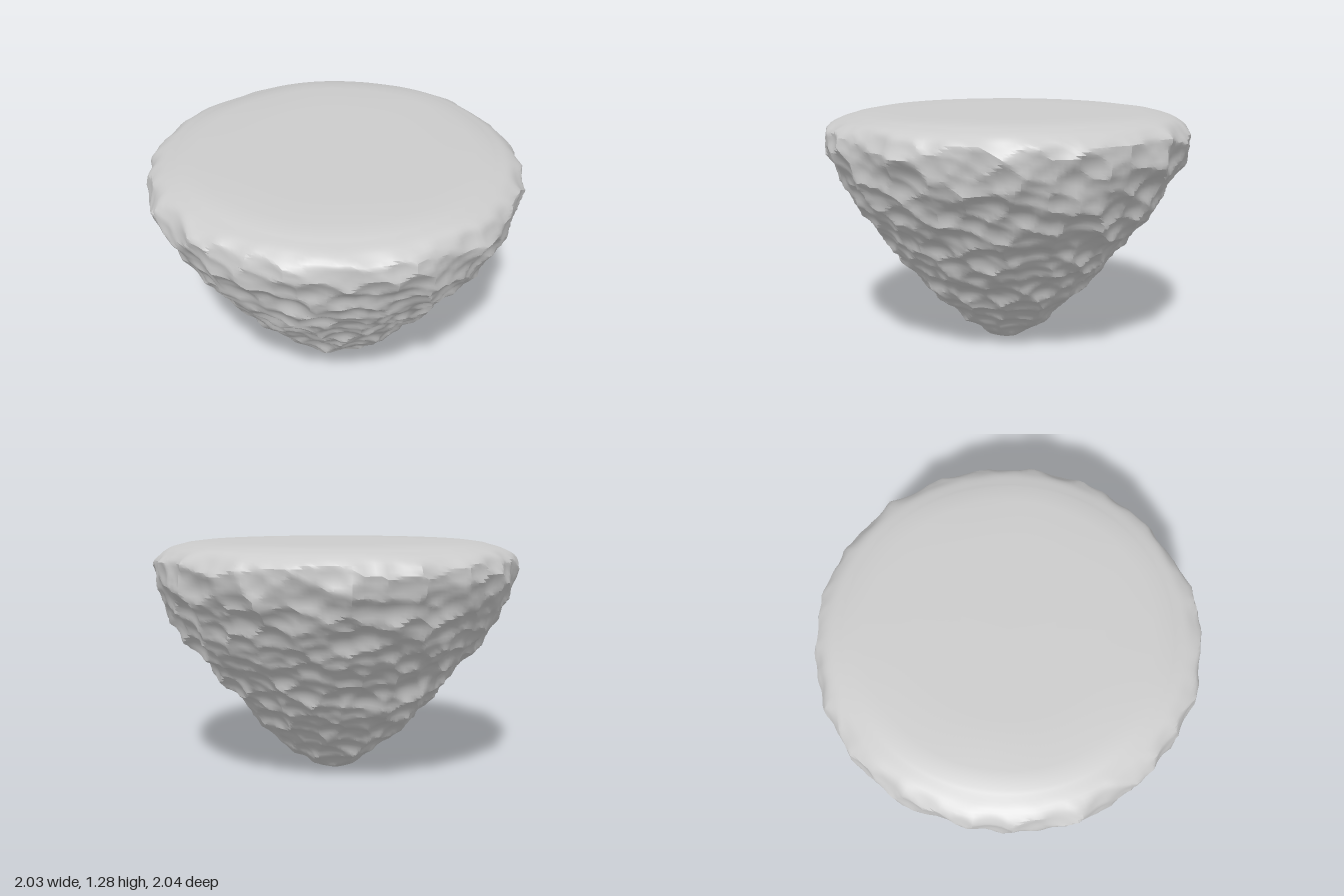
import * as THREE from 'three';
import { mergeVertices, toCreasedNormals } from 'three/addons/utils/BufferGeometryUtils.js';

// Repeatable pseudo-random value in 0..1 for a lattice cell
function hash(x, y, z, k) {
  const s = Math.sin(x * 127.1 + y * 311.7 + z * 74.7 + k * 53.3) * 43758.5453;
  return s - Math.floor(s);
}

// Chipped stone: the lowest of many tilted scoops, meeting in ridges; about -0.5..0.5
function chips(p, size) {
  const q = new THREE.Vector3(p.x, p.y * 1.35, p.z).divideScalar(size);
  const base = q.clone().floor();
  let low = Infinity;
  for (let i = -1; i <= 1; i++) for (let j = -1; j <= 1; j++) for (let k = -1; k <= 1; k++) {
    const c = [base.x + i, base.y + j, base.z + k];
    const d = [q.x - c[0] - hash(...c, 1), q.y - c[1] - hash(...c, 2), q.z - c[2] - hash(...c, 3)];
    let v = 0.8 * hash(...c, 4);
    d.forEach((t, n) => { v += 1.3 * t * t + t * (hash(...c, 5 + n) - 0.5) * 0.9; });
    low = Math.min(low, v);
  }
  return low - 0.4;
}

// Uneven wear of the rim around the edge
function wear(a) {
  return 1 + 0.4 * Math.cos(a) + 0.4 * Math.sin(3 * a) + 0.3 * Math.sin(7 * a);
}

function rockGeometry() {
  // Side profile from the blunt tip to the rounded rim
  const side = new THREE.CatmullRomCurve3([
    [0, 0.005], [0.09, 0.025], [0.19, 0.08], [0.35, 0.21], [0.53, 0.4], [0.685, 0.6],
    [0.84, 0.8], [0.95, 0.99], [0.99, 1.1], [0.99, 1.17], [0.97, 1.22], [0.93, 1.255], [0.84, 1.278],
  ].map(([r, y]) => new THREE.Vector3(r, y, 0)));
  const profile = side.getSpacedPoints(100).map(p => new THREE.Vector2(Math.max(p.x, 0), p.y));
  // Flat top
  [0.75, 0.5, 0.25, 0].forEach(r => profile.push(new THREE.Vector2(r, 1.285)));

  let geo = new THREE.LatheGeometry(profile, 220);
  const { smoothstep } = THREE.MathUtils;
  const pos = geo.attributes.position;
  const p = new THREE.Vector3(), n = new THREE.Vector3();
  for (let i = 0; i < pos.count; i++) {
    p.fromBufferAttribute(pos, i);
    const a = Math.atan2(p.x, p.z), r = Math.hypot(p.x, p.z);
    n.set(p.x, 0, p.z).normalize().multiplyScalar(0.85);
    n.y = -0.55 * (1 - smoothstep(p.y, 0.9, 1.15));
    // Roughness fades out onto the top, sooner at the back
    const rough = 1 - smoothstep(p.y, 1.2 + 0.02 * Math.cos(a), 1.275);
    const d = 0.036 * chips(p, 0.13) + 0.02 * chips(p, 0.24);
    const worn = 0.01 * wear(a) * smoothstep(r, 0.75, 0.92) * smoothstep(p.y, 1.1, 1.25);
    p.addScaledVector(n, d * rough);
    p.y = Math.max(0, p.y - worn);
    pos.setXYZ(i, p.x, p.y, p.z);
  }
  geo.deleteAttribute('normal');
  geo.deleteAttribute('uv');
  geo = mergeVertices(geo, 1e-4);
  return toCreasedNormals(geo, 0.5);
}

export function createModel() {
  const group = new THREE.Group();
  group.name = 'floatingRock';
  const rock = new THREE.Mesh(rockGeometry(), new THREE.MeshStandardMaterial({ color: 0xcccccc }));
  rock.name = 'flatToppedRock';
  group.add(rock);
  return group;
}
